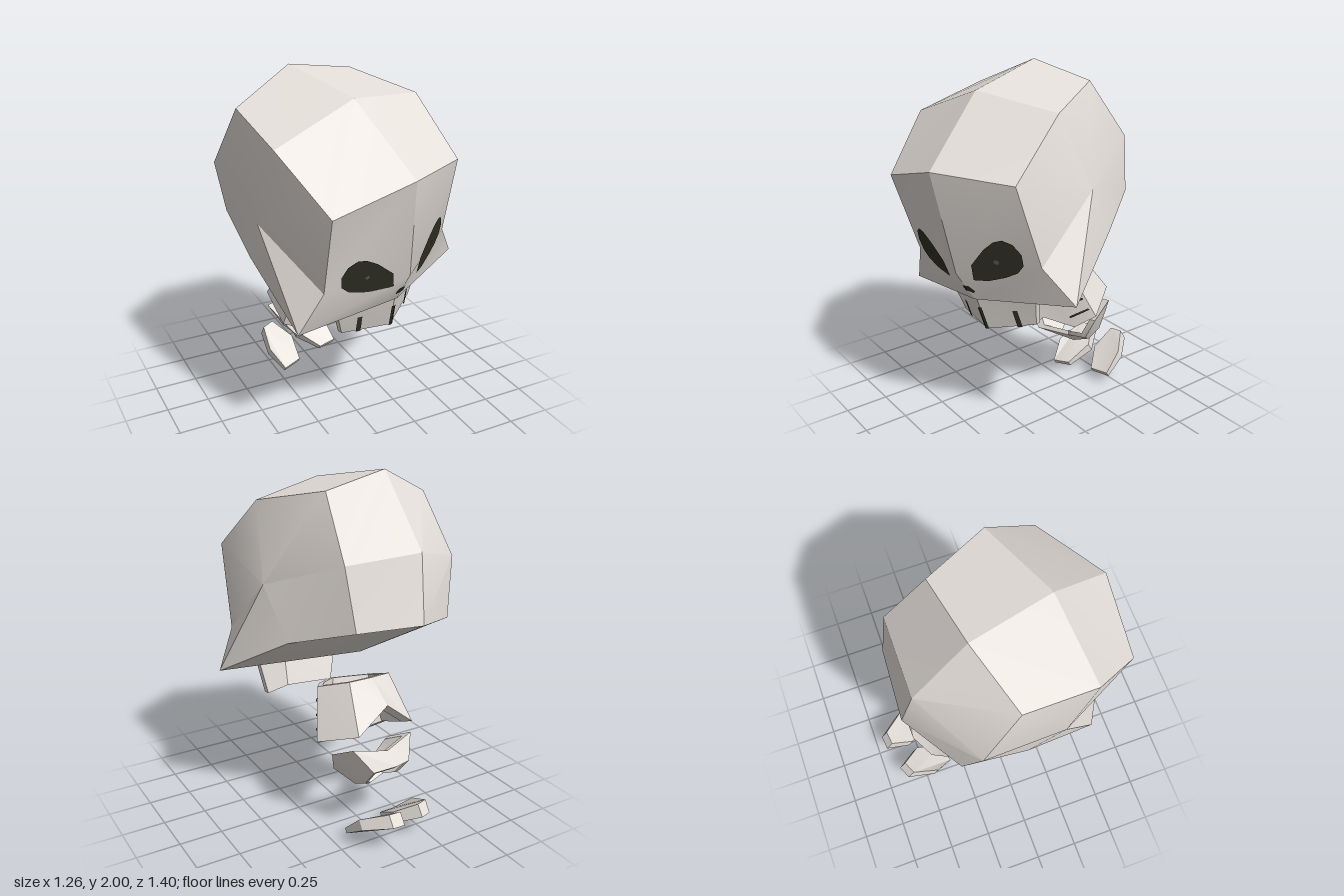
import * as THREE from 'three';
import { toCreasedNormals } from 'three/addons/utils/BufferGeometryUtils.js';

const bone = new THREE.MeshStandardMaterial({ color: 0xe6e0db });
bone.name = 'bone';
const dark = new THREE.MeshStandardMaterial({ color: 0x333327, side: THREE.DoubleSide });
dark.name = 'socket black';
const grey = new THREE.MeshStandardMaterial({ color: 0x5f5f56, side: THREE.DoubleSide });
grey.name = 'pupil grey';

const mirrorPoint = ([x, y, z]) => [-x, y, z];
const both = polys => [...polys, ...polys.map(p => p.map(mirrorPoint).reverse())];
const mix = (p, q, t) => p.map((v, i) => v + (q[i] - v) * t);

// Mesh from a list of polygons, each fanned from its first corner
function mesh(name, polys, material = bone) {
  const pos = [];
  for (const p of polys) {
    for (let i = 1; i < p.length - 1; i++) pos.push(...p[0], ...p[i], ...p[i + 1]);
  }
  const g = new THREE.BufferGeometry();
  g.setAttribute('position', new THREE.Float32BufferAttribute(pos, 3));
  const m = new THREE.Mesh(toCreasedNormals(g, 0.45), material);
  m.name = name;
  return m;
}

// Flat painted shape lying just in front of the plane through three points
function plate(plane, pts, lift = 0.006) {
  const pl = new THREE.Plane().setFromCoplanarPoints(...plane.map(p => new THREE.Vector3(...p)));
  const n = pl.normal;
  return pts.map(([x, y]) => [x, y, -(n.x * x + n.y * y + pl.constant) / n.z + lift]);
}

// Quads joining two rings that run anticlockwise seen from above
function walls(top, bottom) {
  return top.map((t, i) => {
    const j = (i + 1) % top.length;
    return [t, bottom[i], bottom[j], top[j]];
  });
}

// Hollow ring of bone; half rings run from front middle to back middle
function ring(name, halfTop, halfBottom, inset) {
  const full = h => [...h, ...h.slice(1, -1).reverse().map(mirrorPoint)];
  const inner = r => {
    const c = [0, 1, 2].map(k => r.reduce((s, p) => s + p[k], 0) / r.length);
    return r.map(p => mix(p, c, inset));
  };
  const T = full(halfTop), B = full(halfBottom), t = inner(T), b = inner(B);
  return mesh(name, [...walls(T, B), ...walls(b, t), ...walls(t, T), ...walls(B, b)]);
}

export function createModel() {
  const root = new THREE.Group();
  root.name = 'skeleton';

  // Everything is symmetrical about x = 0 inside this turned and leaning group
  const body = new THREE.Group();
  body.name = 'leaningBody';
  body.position.set(-0.074, 1.3, 0);
  body.rotation.set(0, 0.265, 0.127, 'YXZ');
  root.add(body);

  // Skull: middle profile and matching side profile, both going round from the upper lip
  const mid = [[0, -0.473, 0.51], [0, -0.288, 0.622], [0, 0.273, 0.711], [0, 0.611, 0.309],
    [0, 0.706, -0.19], [0, 0.317, -0.497], [0, -0.056, -0.566], [0, -0.306, -0.148]];
  const side = [[0.575, -0.473, 0.371], [0.44, -0.257, 0.45], [0.44, 0.2, 0.582], [0.486, 0.49, 0.257],
    [0.393, 0.588, -0.153], [0.441, 0.252, -0.374], [0.378, -0.085, -0.438], [0.5, -0.21, -0.075]];
  const temple = [0.539, 0.072, 0.101];
  const skull = [];
  for (let i = 0; i < 8; i++) {
    const j = (i + 1) % 8;
    skull.push([mid[i], side[i], side[j], mid[j]], [temple, side[j], side[i]]);
  }
  body.add(mesh('skull', both(skull)));

  // Eye sockets, pupils and nose
  const facePlane = [mid[1], side[1], side[2]];
  const eye = [[0.085, -0.325], [0.1, -0.235], [0.19, -0.142], [0.25, -0.1], [0.295, -0.09], [0.34, -0.115],
    [0.368, -0.175], [0.36, -0.24], [0.32, -0.283], [0.25, -0.31], [0.16, -0.33]];
  body.add(mesh('eyeSockets', both([plate(facePlane, eye, 0.008)]), dark));
  const pupil = [];
  for (let i = 0; i < 8; i++) {
    const a = i * Math.PI / 4;
    pupil.push([0.235 + 0.014 * Math.cos(a), -0.216 + 0.014 * Math.sin(a)]);
  }
  body.add(mesh('pupils', both([plate(facePlane, pupil, 0.013)]), grey));
  const nose = [[0, -0.37], [0, -0.405], [0.025, -0.425], [0.037, -0.41], [0.022, -0.375]];
  body.add(mesh('nose', both([plate([mid[0], side[1], mid[1]], nose)]), dark));

  // Upper jaw: a bent slab, with dark gaps between the teeth
  const slab = (t, b) => [t, b, [b[0], b[1], b[2] - 0.03], [t[0], t[1], t[2] - 0.03]];
  const jawMid = slab([0, -0.455, 0.5], [0, -0.672, 0.44]);
  const jawEnd = slab([0.31, -0.455, 0.37], [0.26, -0.643, 0.33]);
  const jaw = jawMid.map((p, i) => [p, jawMid[(i + 1) % 4], jawEnd[(i + 1) % 4], jawEnd[i]]);
  body.add(mesh('upperJaw', both([...jaw, jawEnd])));
  const jawPlane = [jawMid[0], jawMid[1], jawEnd[1]];
  const gap = (x0, x1, top, low) => plate(jawPlane, [[x0, top], [x0, low], [x1, low], [x1, top]], 0.009);
  body.add(mesh('toothGaps', both([gap(0, 0.014, -0.53, -0.67), gap(0.166, 0.191, -0.55, -0.655)]), dark));

  // Rib cage, with a short breastbone point in the front middle
  const ribTop = [[0, -0.524, 0.064], [0.05, -0.523, 0.05], [0.13, -0.52, 0.022], [0.23, -0.5, -0.06],
    [0.165, -0.435, -0.235], [0, -0.43, -0.25]];
  const ribLow = [[0, -0.807, 0.064], [0.06, -0.755, 0.03], [0.195, -0.837, -0.081], [0.3, -0.78, -0.159],
    [0.225, -0.69, -0.395], [0, -0.555, -0.385]];
  body.add(ring('ribCage', ribTop, ribLow, 0.18));

  // Dark lines between the ribs, across the two front panels
  const onRibs = (s, u, v) => {
    const p = mix(mix(ribTop[s], ribTop[s + 1], u), mix(ribLow[s], ribLow[s + 1], u), v);
    const out = new THREE.Vector3(p[0], 0, p[2] + 0.15).setLength(0.011);
    return [p[0] + out.x, p[1], p[2] + out.z];
  };
  const lines = [];
  for (const [s, u0, u1, rows] of [[1, 0.1, 1, [0.25, 0.5]], [2, 0, 0.85, [0.25, 0.5, 0.75]]]) {
    for (const v of rows) {
      lines.push([onRibs(s, u0, v), onRibs(s, u0, v + 0.04), onRibs(s, u1, v + 0.04), onRibs(s, u1, v)]);
    }
  }
  body.add(mesh('ribLines', both(lines), dark));

  // Pelvis
  body.add(ring('pelvis',
    [[0, -1.0, -0.265], [0.18, -0.955, -0.193], [0.24, -0.845, -0.226], [0.245, -0.767, -0.379], [0, -0.81, -0.42]],
    [[0, -1.054, -0.311], [0.12, -1.02, -0.31], [0.14, -0.98, -0.4], [0.15, -0.891, -0.463], [0, -0.875, -0.5]],
    0.2));

  // Feet: six-sided slabs, thinner at the toe
  const footTop = [[0.076, -1.079, -0.616], [0.025, -1.165, -0.49], [0.088, -1.245, -0.347],
    [0.207, -1.253, -0.346], [0.228, -1.148, -0.458], [0.157, -1.079, -0.604]];
  const drop = [1, 0.8, 0.4, 0.4, 0.8, 1];
  const footLow = footTop.map(([x, y, z], i) => [x, y - 0.065 * drop[i], z - 0.04 * drop[i]]);
  body.add(mesh('feet', both([footTop, [...footLow].reverse(), ...walls(footTop, footLow)])));

  return root;
}
